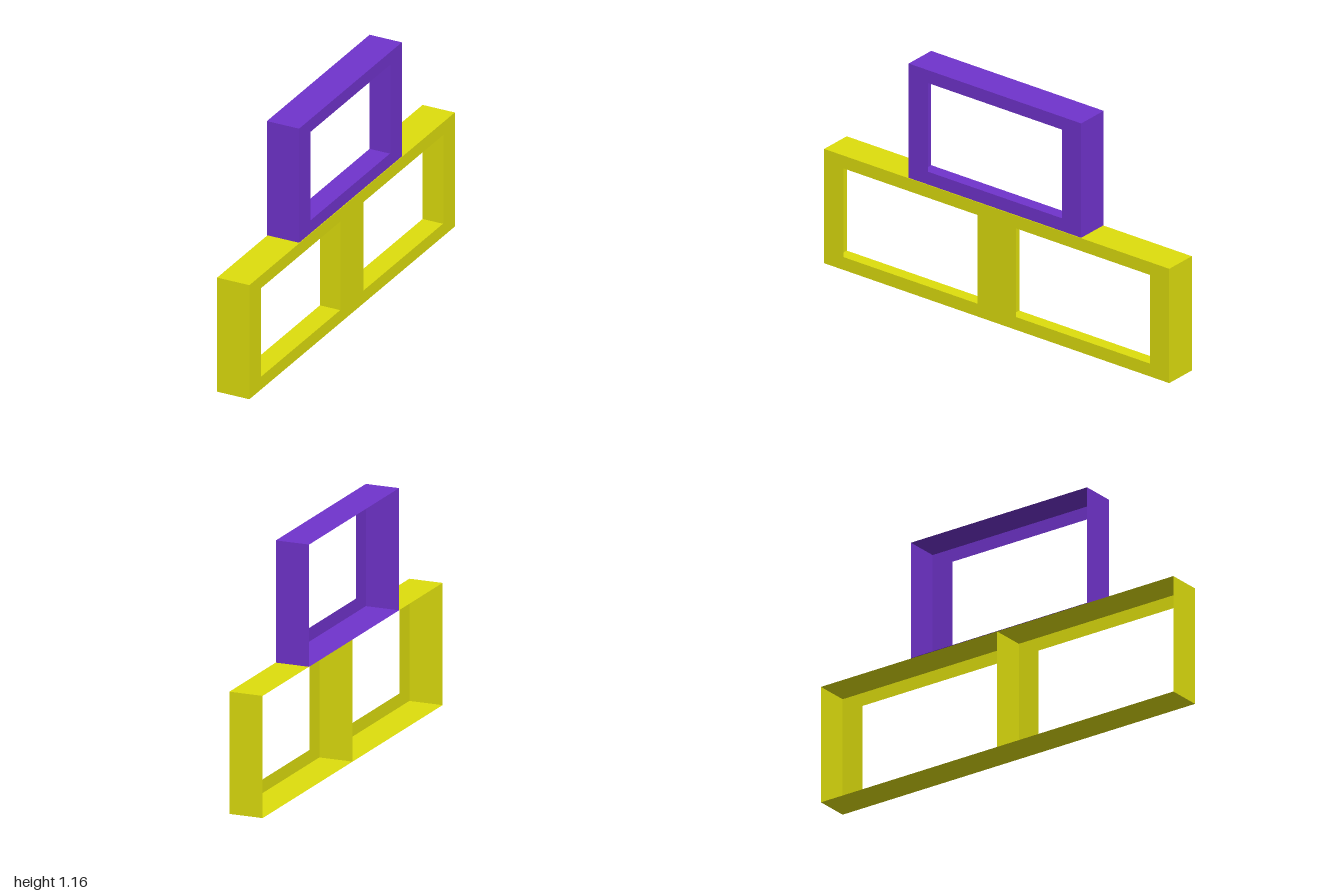
import * as THREE from 'three';

const L = 1.0, H = 0.58, D = 0.166;      // box length (z), height (y), depth (x)
const HOLE_L = 0.776, HOLE_H = 0.45;     // window in the face panel

// Thin-walled box: four walls, windowed panel on +x, open on -x
function createBox(name, color) {
  const box = new THREE.Group();
  box.name = name;
  const material = new THREE.MeshStandardMaterial({ color, side: THREE.DoubleSide });
  const add = (part, geometry) => {
    const mesh = new THREE.Mesh(geometry, material);
    mesh.name = part;
    box.add(mesh);
  };

  // Walls
  for (const s of [1, -1]) {
    add(s > 0 ? 'topWall' : 'bottomWall',
      new THREE.PlaneGeometry(D, L).rotateX(-s * Math.PI / 2).translate(0, s * H / 2, 0));
    add(s > 0 ? 'frontWall' : 'backWall',
      new THREE.PlaneGeometry(D, H).rotateY(s > 0 ? 0 : Math.PI).translate(0, 0, s * L / 2));
  }

  // Windowed panel
  const rect = (path, w, h) => path.moveTo(-w / 2, -h / 2).lineTo(w / 2, -h / 2)
    .lineTo(w / 2, h / 2).lineTo(-w / 2, h / 2).closePath();
  const panel = rect(new THREE.Shape(), L, H);
  panel.holes.push(rect(new THREE.Path(), HOLE_L, HOLE_H));
  add('windowPanel', new THREE.ShapeGeometry(panel).rotateY(Math.PI / 2).translate(D / 2, 0, 0));
  return box;
}

export function createModel() {
  const model = new THREE.Group();
  model.name = 'stackedBoxes';

  // Two lower boxes end to end
  for (const s of [1, -1]) {
    const lower = createBox(s > 0 ? 'lowerFrontBox' : 'lowerBackBox', 0xdddd0d);
    lower.position.set(0, H / 2, s * L / 2);
    model.add(lower);
  }

  // Upper box resting across the joint
  const upper = createBox('upperBox', 0x7033cc);
  upper.position.set(-0.002, H * 1.5 + 0.001, 0.012);
  model.add(upper);
  return model;
}
